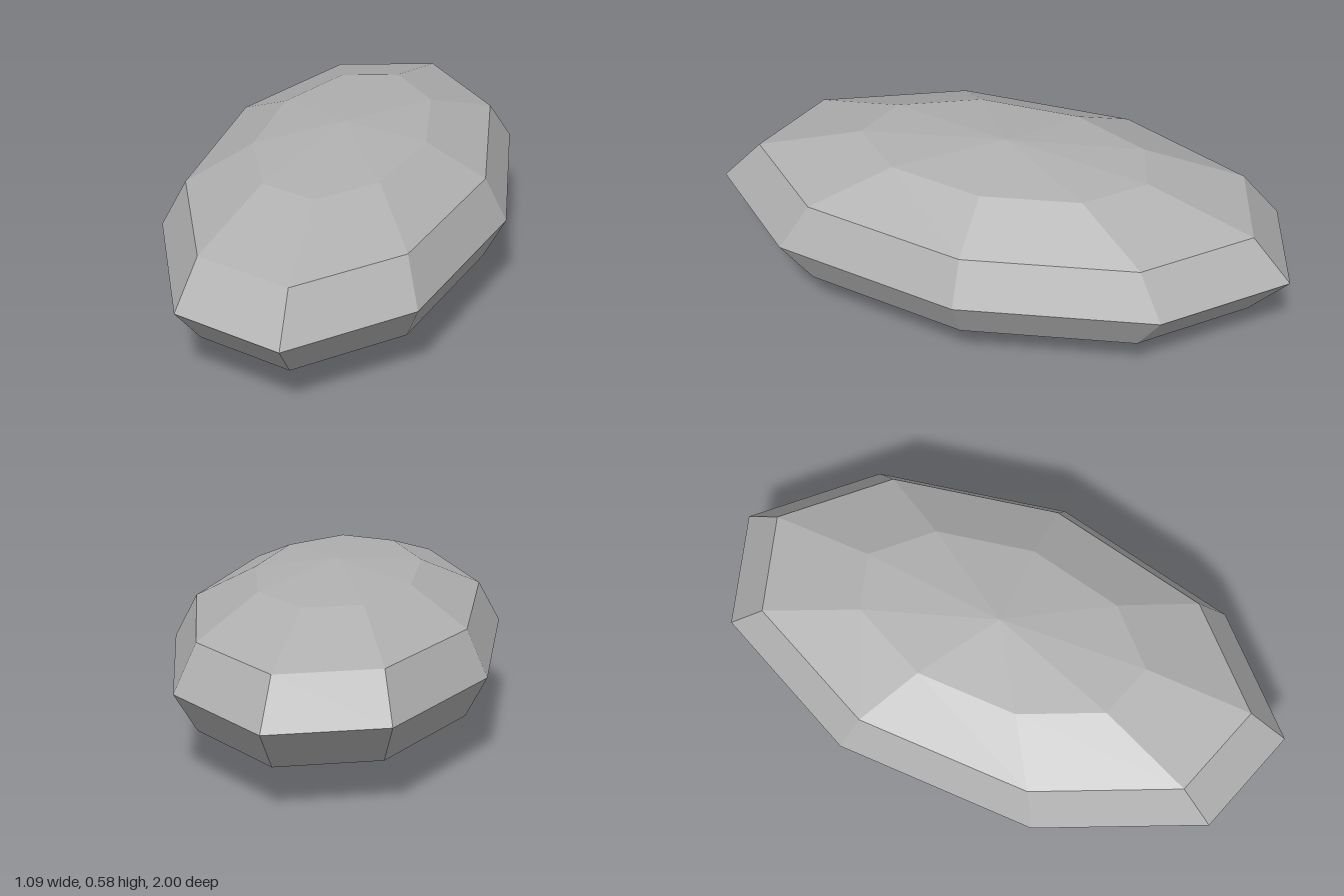
import * as THREE from 'three';

export function createModel() {
  const group = new THREE.Group();
  group.name = 'stone';

  const stoneGrey = new THREE.MeshStandardMaterial({ color: 0xb0b0b0, flatShading: true });
  stoneGrey.name = 'stoneGrey';

  // Nine-sided faceted ellipsoid, with one corner pointing along +x
  const geometry = new THREE.SphereGeometry(1, 9, 6, Math.PI);
  geometry.scale(0.562, 0.292, 1.015);

  // The odd side count makes it lopsided in x, so shift it to centre its bounds
  geometry.translate(-0.017, 0.292, 0);

  const pebble = new THREE.Mesh(geometry, stoneGrey);
  pebble.name = 'pebble';
  group.add(pebble);
  return group;
}
